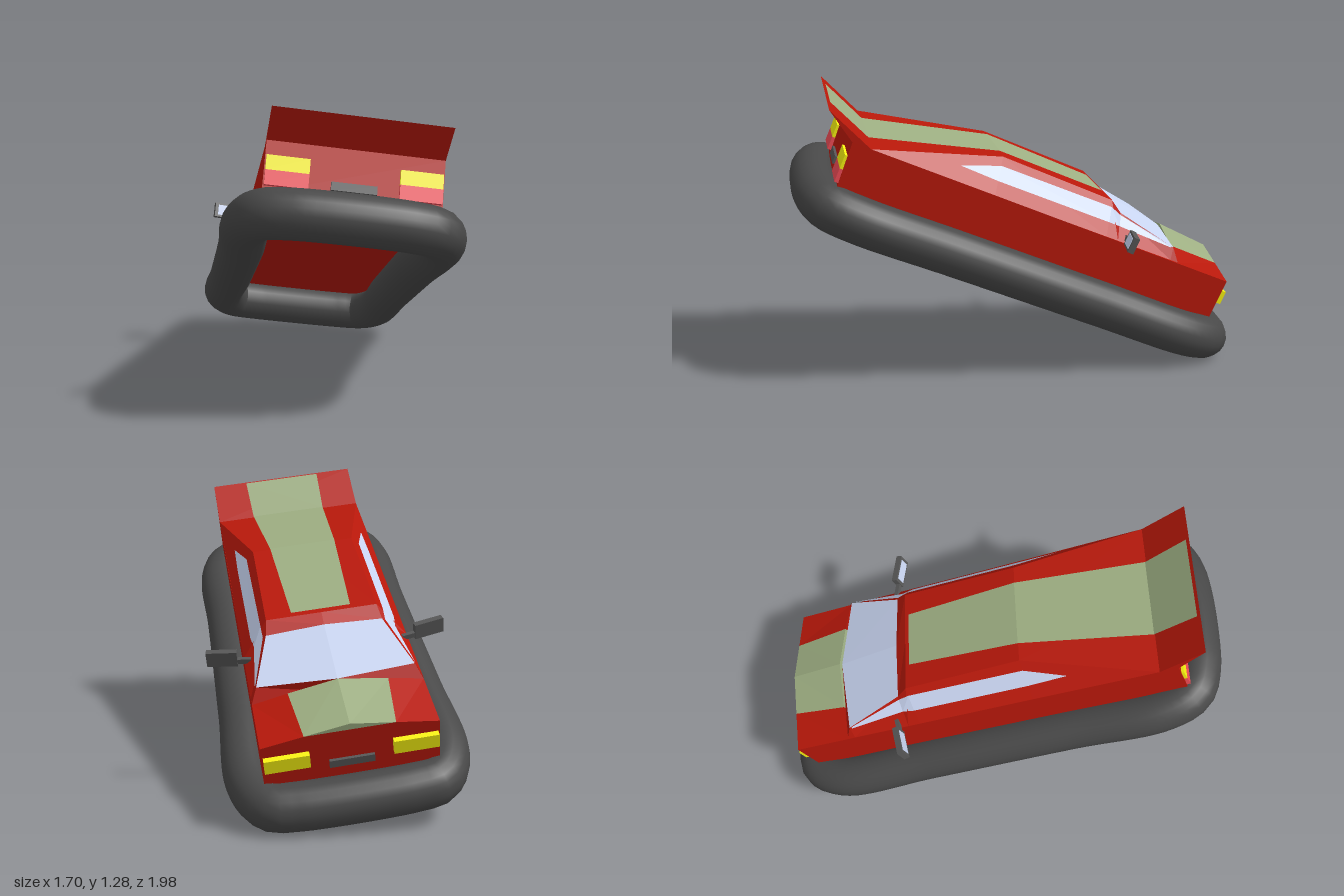
import * as THREE from 'three';

const mat = (color, flatShading = false) =>
  new THREE.MeshStandardMaterial({ color, flatShading, side: THREE.DoubleSide });
const RED = mat(0xb8180a, true);
const GREEN = mat(0x9dae82, true);
const GLASS = mat(0xc8d4f0, true);
const YELLOW = mat(0xf8f210);
const PINK = mat(0xf04c56);
const GREY = mat(0x565656);
const RUBBER = mat(0x484848);

// Half widths, roof heights and lengthwise stations of the cabin (rear to front).
const BELT_X = 0.352, BELT_Y = 0.185;
const CABIN = [
  { z: 0.83, y: 0.19, x: 0.352 },
  { z: 0.27, y: 0.332, x: 0.23 },
  { z: -0.27, y: 0.324, x: 0.237 },
  { z: -0.327, y: 0.286, x: 0.248, midY: 0.3 },
  { z: -0.597, y: 0.237, x: 0.325, midY: 0.25, midZ: -0.635 },
  { z: -0.635, y: 0.182, x: 0.352 },
];

// Point on the sloping cabin side; t = 0 at the belt, 1 at the roof edge.
function sidePoint(z, t, side, lift = 0) {
  let i = 0;
  while (i < CABIN.length - 2 && z < CABIN[i + 1].z) i++;
  const a = CABIN[i], b = CABIN[i + 1];
  const k = (a.z - z) / (a.z - b.z);
  const x = THREE.MathUtils.lerp(a.x, b.x, k);
  const y = THREE.MathUtils.lerp(a.y, b.y, k);
  return [side * (BELT_X + (x - BELT_X) * t + lift), BELT_Y + (y - BELT_Y) * t + lift, z];
}

// Skin a grid of points given as equally long rows.
function loft(rows) {
  const n = rows[0].length, index = [];
  for (let r = 0; r < rows.length - 1; r++) {
    for (let c = 0; c < n - 1; c++) {
      const a = r * n + c, b = a + n;
      index.push(a, a + 1, b, b, a + 1, b + 1);
    }
  }
  const g = new THREE.BufferGeometry();
  g.setAttribute('position', new THREE.Float32BufferAttribute(rows.flat(2), 3));
  g.setIndex(index);
  const flat = g.toNonIndexed();
  flat.computeVertexNormals();
  return flat;
}

export function createModel() {
  const model = new THREE.Group();
  const craft = new THREE.Group();
  craft.name = 'hoverCar';
  model.add(craft);

  const add = (name, geometry, material, parent = craft) => {
    const m = new THREE.Mesh(geometry, material);
    m.name = name;
    parent.add(m);
    return m;
  };
  const box = (name, w, h, d, x, y, z, material, parent) =>
    add(name, new THREE.BoxGeometry(w, h, d), material, parent).position.set(x, y, z);

  // Lower body with the upswept tail spoiler: side profile extruded across
  const profile = new THREE.Shape([
    [-0.9, -0.02], [0.9, -0.02], [0.91, 0.19], [1.043, 0.28], [0.83, 0.19], [-0.9, 0.18],
  ].map(([z, y]) => new THREE.Vector2(-z, y)));
  const bodyGeo = new THREE.ExtrudeGeometry(profile, { depth: 2 * BELT_X, bevelEnabled: false });
  bodyGeo.translate(0, 0, -BELT_X).rotateY(Math.PI / 2);
  add('body', bodyGeo, RED);

  // Cabin roof, windscreen and cowl
  const rows = CABIN.map((s) =>
    [[-s.x, s.y, s.z], [0, s.midY ?? s.y, s.midZ ?? s.z], [s.x, s.y, s.z]]);
  add('roof', loft(rows.slice(0, 4)), RED);
  add('windscreen', loft(rows.slice(3, 5)), GLASS);
  add('cowl', loft(rows.slice(4, 6)), RED);

  // Cabin sides and side windows
  const windowStations = [
    [0.45, 0.58, 0.58], [0.27, 0.36, 0.75], [-0.27, 0.38, 0.8],
    [-0.327, 0.5, 0.9], [-0.585, 0.85, 0.97],
  ];
  for (const side of [-1, 1]) {
    add('cabinSide', loft(CABIN.map((s) => [sidePoint(s.z, 0, side), sidePoint(s.z, 1, side)])), RED);
    add('sideWindow', loft(windowStations.map(([z, lo, hi]) =>
      [sidePoint(z, lo, side, 0.003), sidePoint(z, hi, side, 0.003)])), GLASS);
  }

  // Stripe over the roof and up the spoiler
  const stripe = [
    [0.185, 0.282, 1.03], [0.178, 0.197, 0.828], [0.15, 0.337, 0.27], [0.127, 0.329, -0.25],
  ];
  add('roofStripe', loft(stripe.map(([x, y, z]) => [[-x, y, z], [x, y, z]])), GREEN);

  // Bonnet: sloping shoulders with a ridged centre panel
  const noseEdge = [[-0.18, 0.208, -0.9], [0, 0.237, -0.9], [0.18, 0.208, -0.9]];
  const rearEdge = [[-0.205, 0.217, -0.64], [0, 0.257, -0.644], [0.205, 0.217, -0.64]];
  const dropTo = (edge, y) => edge.map(([x, , z]) => [x, y, z]);
  for (const s of [-1, 1]) {
    add('bonnetShoulder', loft([
      [[s * 0.352, 0.18, -0.9], [s * 0.18, 0.208, -0.9]],
      [[s * 0.352, 0.182, -0.635], [s * 0.205, 0.217, -0.64]],
    ]), RED);
  }
  add('bonnetPanel', loft([noseEdge, rearEdge]), GREEN);
  add('bonnetNoseRidge', loft([noseEdge, dropTo(noseEdge, 0.208)]), GREEN);
  add('bonnetRear', loft([rearEdge, dropTo(rearEdge, 0.18)]), GREEN);
  const noseTop = [[-0.352, 0.18, -0.9], [-0.18, 0.208, -0.9], [0.18, 0.208, -0.9], [0.352, 0.18, -0.9]];
  add('bonnetNose', loft([noseTop, dropTo(noseTop, 0.18)]), RED);

  // Lamps and wing mirrors, one set per side
  for (const s of [-1, 1]) {
    box('headlamp', 0.18, 0.062, 0.04, s * 0.255, 0.1, -0.905, YELLOW);
    box('tailLampUpper', 0.17, 0.06, 0.02, s * 0.262, 0.1, 0.908, YELLOW);
    box('tailLampLower', 0.17, 0.06, 0.02, s * 0.262, 0.04, 0.908, PINK);

    const mirror = new THREE.Group();
    mirror.name = 'wingMirror';
    mirror.position.set(s * 0.43, 0.22, -0.35);
    mirror.rotation.y = -s * 0.2;
    craft.add(mirror);
    box('mirrorHousing', 0.13, 0.07, 0.026, s * 0.012, 0, 0, GREY, mirror);
    box('mirrorGlass', 0.1, 0.05, 0.004, s * 0.012, 0, 0.013, GLASS, mirror);
    box('mirrorArm', 0.07, 0.022, 0.018, s * -0.075, -0.015, 0, GREY, mirror);
  }

  // Plates front and rear
  box('frontPlate', 0.18, 0.034, 0.02, 0, 0.055, -0.903, GREY);
  box('rearPlate', 0.18, 0.034, 0.02, 0, 0.035, 0.905, GREY);

  // Inflated skirt: a closed loop with cut corners, a little wider at the nose
  const tail = [[0.385, 0.35], [0.385, 0.76], [0.335, 0.895], [0.24, 0.935], [0.12, 0.95]];
  const nose = [[0.395, -0.35], [0.4, -0.8], [0.333, -0.93], [0.24, -0.95], [0.12, -0.957]];
  const corner = (points, s) => points.map(([x, z]) => new THREE.Vector3(s * x, -0.1, z));
  const path = new THREE.CatmullRomCurve3([
    ...corner(tail, 1), ...corner(tail, -1).reverse(),
    ...corner(nose, -1), ...corner(nose, 1).reverse(),
  ], true, 'centripetal');
  add('skirt', new THREE.TubeGeometry(path, 140, 0.1, 20, true), RUBBER);

  // Banked, nose-down pose
  const across = new THREE.Vector3(0.7794, -0.1237, 0.6136).normalize();
  const up = new THREE.Vector3(0.3251, 0.9172, -0.2281);
  const back = new THREE.Vector3().crossVectors(across, up).normalize();
  up.crossVectors(back, across);
  craft.quaternion.setFromRotationMatrix(new THREE.Matrix4().makeBasis(across, up, back));

  // Stand on the ground, centred
  model.updateMatrixWorld(true);
  const bounds = new THREE.Box3().setFromObject(model, true);
  const mid = bounds.getCenter(new THREE.Vector3());
  craft.position.set(-mid.x, -bounds.min.y, -mid.z);
  return model;
}
